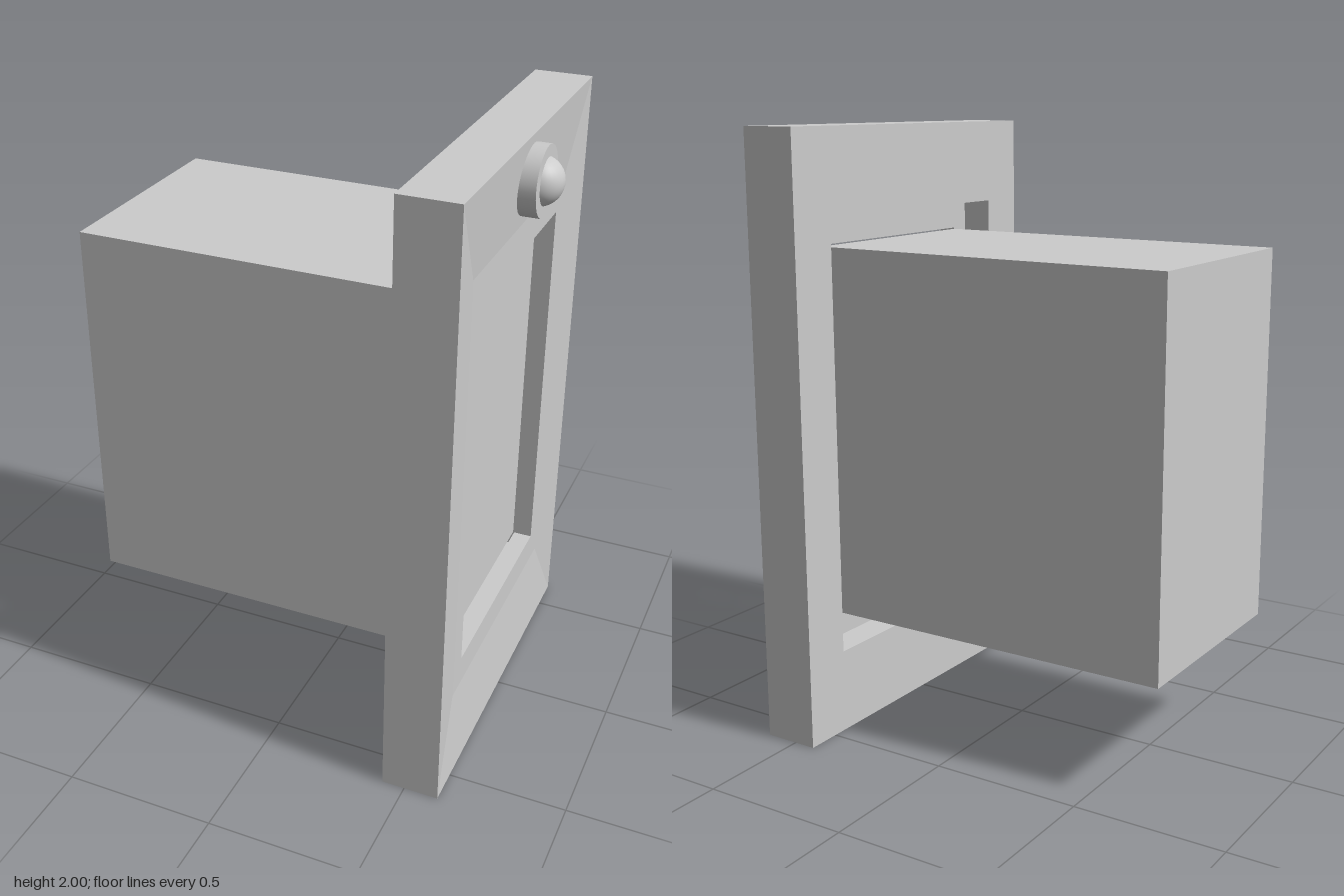
import * as THREE from 'three';

const material = new THREE.MeshStandardMaterial({ color: 0xcccccc });

function addMesh(parent, name, geometry, x, y, z) {
  const mesh = new THREE.Mesh(geometry, material);
  mesh.name = name;
  mesh.position.set(x, y, z);
  parent.add(mesh);
  return mesh;
}

// Sweeps a closed profile of [x, half height, half width] around a mitred rectangle
function mitredFrame(profile) {
  const corners = [[1, 1], [1, -1], [-1, -1], [-1, 1]]; // signs of y, z
  const point = (i, k) => {
    const [x, hy, hz] = profile[i % profile.length];
    const [sy, sz] = corners[k % 4];
    return [x, sy * hy, sz * hz];
  };
  const positions = [];
  for (let i = 0; i < profile.length; i++) {
    for (let k = 0; k < 4; k++) {
      const a = point(i, k), b = point(i, k + 1);
      const c = point(i + 1, k + 1), d = point(i + 1, k);
      positions.push(...a, ...d, ...c, ...a, ...c, ...b);
    }
  }
  const geometry = new THREE.BufferGeometry();
  geometry.setAttribute('position', new THREE.Float32BufferAttribute(positions, 3));
  geometry.computeVertexNormals();
  return geometry;
}

export function createModel() {
  const group = new THREE.Group();
  group.name = 'framedBox';

  // Frame: front slopes gently in to a flat lip, back is rebated
  addMesh(group, 'frame', mitredFrame([
    [0.425, 1, 0.615],
    [0.613, 1, 0.615],
    [0.592, 0.72, 0.445],
    [0.592, 0.622, 0.374],
    [0.53, 0.622, 0.374],
    [0.53, 0.72, 0.445],
    [0.425, 0.72, 0.445],
  ]), 0, 1, 0);

  // Box body, ending just behind the lip
  const back = -0.71, front = 0.527;
  addMesh(group, 'boxBody', new THREE.BoxGeometry(front - back, 1.236, 0.742),
    (front + back) / 2, 1, 0);

  // Round button above the opening
  const button = new THREE.Group();
  button.name = 'button';
  button.position.set(0, 1.86, 0);
  group.add(button);
  const base = addMesh(button, 'buttonBase',
    new THREE.CylinderGeometry(0.109, 0.109, 0.065, 32), 0.623, 0, 0);
  base.rotation.z = -Math.PI / 2;
  addMesh(button, 'buttonDome', new THREE.SphereGeometry(0.076, 32, 20), 0.632, 0, 0);

  return group;
}
